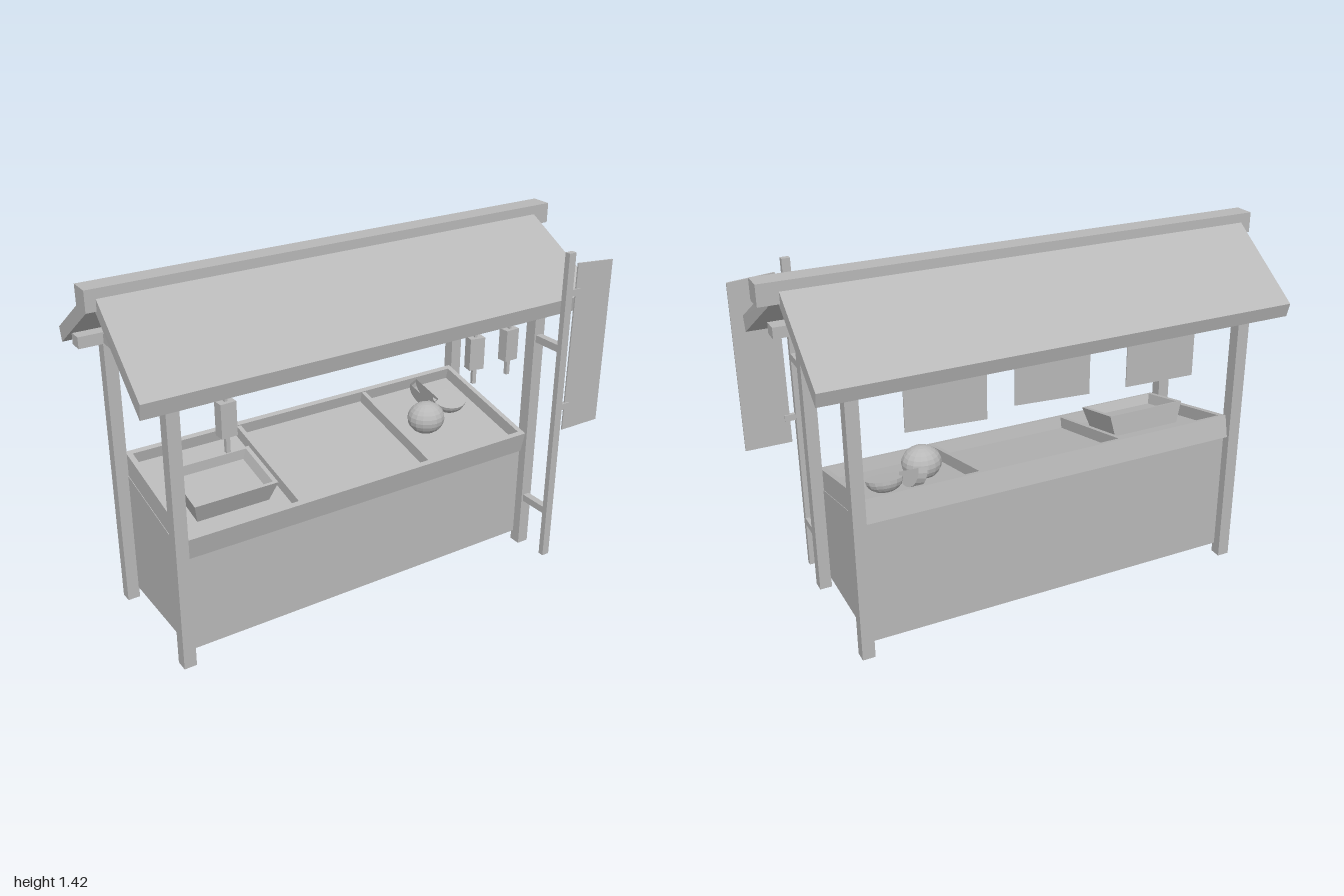
import * as THREE from 'three';

export function createModel() {
  const root = new THREE.Group();
  root.name = 'marketStall';
  const grey = new THREE.MeshStandardMaterial({ color: 0xb8b8b8, flatShading: true, side: THREE.DoubleSide });
  grey.name = 'plain grey';

  const add = (name, geo, parent = root) => {
    const m = new THREE.Mesh(geo, grey);
    m.name = name;
    parent.add(m);
    return m;
  };
  // box given by its limits on each axis
  const box = (name, x0, x1, y0, y1, z0, z1, parent) =>
    add(name, new THREE.BoxGeometry(x1 - x0, y1 - y0, z1 - z0)
      .translate((x0 + x1) / 2, (y0 + y1) / 2, (z0 + z1) / 2), parent);
  // [z, y] outline extruded along x
  const prism = (name, pts, x0, x1) => {
    const shape = new THREE.Shape(pts.map(p => new THREE.Vector2(p[0], p[1])));
    const geo = new THREE.ExtrudeGeometry(shape, { depth: x1 - x0, bevelEnabled: false });
    return add(name, geo.rotateY(-Math.PI / 2).translate(x1, 0, 0));
  };
  // thin flat sheet from [x, y] corners
  const sheet = (name, pts, z, t) => {
    const shape = new THREE.Shape(pts.map(p => new THREE.Vector2(p[0], p[1])));
    return add(name, new THREE.ExtrudeGeometry(shape, { depth: t, bevelEnabled: false }).translate(0, 0, z - t / 2));
  };

  // posts, tie beams and king posts
  for (const [x0, x1] of [[-0.853, -0.803], [0.75, 0.8]]) {
    box('frontPost', x0, x1, 0, 1.11, 0.21, 0.26);
    box('backPost', x0, x1, 0, 1.11, -0.308, -0.26);
    box('tieBeam', x0 + 0.003, x1 - 0.003, 1.112, 1.152, -0.27, 0.22);
    box('kingPost', x0, x1, 1.15, 1.345, -0.057, 0.002);
  }
  box('frontBeam', -0.945, 0.89, 1.11, 1.155, 0.21, 0.275);
  box('backBeam', -0.945, 0.89, 1.11, 1.155, -0.318, -0.26);

  // roof
  box('ridgeBeam', -1, 1, 1.34, 1.42, -0.072, 0.012);
  const frontRoof = prism('frontRoof', [[0.01, 1.385], [0.383, 1.155], [0.37, 1.095], [-0.02, 1.342]], -0.96, 0.925);
  const rp = frontRoof.geometry.attributes.position;
  for (let i = 0; i < rp.count; i++) {
    const x = rp.getX(i), t = Math.max(0, rp.getZ(i) / 0.38);
    rp.setX(i, x + Math.sign(x) * 0.027 * t);
  }
  prism('backRoof', [[-0.07, 1.385], [-0.413, 1.15], [-0.398, 1.095], [-0.04, 1.342]], -0.957, 0.922);

  // counter, open underneath
  box('frontPanel', -0.805, 0.752, 0.045, 0.46, 0.21, 0.222);
  box('backPanel', -0.805, 0.752, 0.045, 0.56, -0.272, -0.26);
  const side = [[0.215, 0.045], [0.215, 0.45], [-0.265, 0.555], [-0.265, 0.045]];
  prism('sidePanel', side, -0.805, -0.793);
  prism('sidePanel', side, 0.74, 0.752);

  // sloped display tray
  const tray = new THREE.Group();
  tray.name = 'displayTray';
  tray.position.set(0, 0.592, -0.0125);
  tray.rotation.x = 0.227;
  root.add(tray);
  const L = -0.803, R = 0.75, D = 0.27, H = 0.0925;
  box('trayFloor', L, R, -H, -0.05, -D, D, tray);
  box('trayFrontRim', L, R, -H, 0, D - 0.022, D, tray);
  box('trayBackRim', L, R, -H, 0, -D, -D + 0.022, tray);
  box('traySideRim', L, L + 0.022, -H, 0, -D, D, tray);
  box('traySideRim', R - 0.022, R, -H, 0, -D, D, tray);
  for (const x of [-0.325, 0.275]) box('trayDivider', x - 0.009, x + 0.009, -0.06, -0.004, -D + 0.02, D - 0.02, tray);

  // flared open crate
  const profile = [[0, 0], [0.87, 0], [1, 0.09], [0.9, 0.09], [0.82, 0.05], [0, 0.05]]
    .map(([r, y]) => new THREE.Vector2(r * Math.SQRT2, y));
  const crate = add('crate', new THREE.LatheGeometry(profile, 4, Math.PI / 4)
    .scale(0.172, 1, 0.118), tray);
  crate.position.set(-0.553, -0.048, 0.047);

  // round fruit, halved fruit and slice
  const fruit = add('wholeFruit', new THREE.SphereGeometry(0.079, 16, 12).scale(1, 0.85, 0.95));
  fruit.position.set(0.415, 0.594, 0.005);
  const half = new THREE.Group();
  half.name = 'halfFruit';
  add('halfFruitSkin', new THREE.SphereGeometry(0.075, 16, 6, 0, Math.PI * 2, Math.PI / 2, Math.PI / 2).scale(1, 0.75, 0.9), half);
  add('halfFruitFlesh', new THREE.CircleGeometry(0.075, 16).rotateX(-Math.PI / 2).scale(1, 1, 0.9), half);
  half.position.set(0.595, 0.605, -0.07);
  half.rotation.x = 0.25;
  root.add(half);
  const slice = add('fruitSlice', new THREE.CylinderGeometry(0.065, 0.065, 0.04, 10, 1, false, 0, Math.PI));
  slice.rotation.set(0.5, 0.3, -1.4);
  slice.position.set(0.5, 0.642, -0.125);

  // cloth banners under the back beam
  for (const [x0, x1, a, b] of [[-0.61, -0.31, 0.873, 0.88], [-0.15, 0.16, 0.885, 0.9], [0.27, 0.585, 0.87, 0.885]])
    sheet('clothBanner', [[x0, 1.12], [x0, a], [x1, b], [x1, 1.12]], -0.287, 0.004);

  // hanging tags under the front beam
  for (const [x, turn] of [[-0.622, 0.05], [0.465, -0.2], [0.636, 0.05]]) {
    const tag = new THREE.Group();
    tag.name = 'hangingTag';
    box('tagString', -0.006, 0.006, 1.02, 1.115, -0.006, 0.006, tag);
    box('tagBlock', -0.031, 0.031, 0.89, 1.02, -0.022, 0.022, tag);
    box('tagTassel', -0.008, 0.008, 0.825, 0.89, -0.008, 0.008, tag);
    tag.position.set(x, 0, 0.235);
    tag.rotation.y = turn;
    root.add(tag);
  }

  // sign pole, brackets and sign cloth
  box('signPole', 0.755, 0.788, 0.015, 1.35, 0.386, 0.41);
  for (const y of [0.225, 0.957]) box('poleBracket', 0.758, 0.788, y - 0.015, y + 0.015, 0.25, 0.39);
  for (const y of [0.702, 1.185]) box('signPeg', 0.78, 0.832, y - 0.013, y + 0.013, 0.389, 0.405);
  sheet('signCloth', [[0.815, 1.3], [0.81, 0.595], [0.997, 0.595], [0.997, 1.285]], 0.397, 0.006);

  return root;
}
